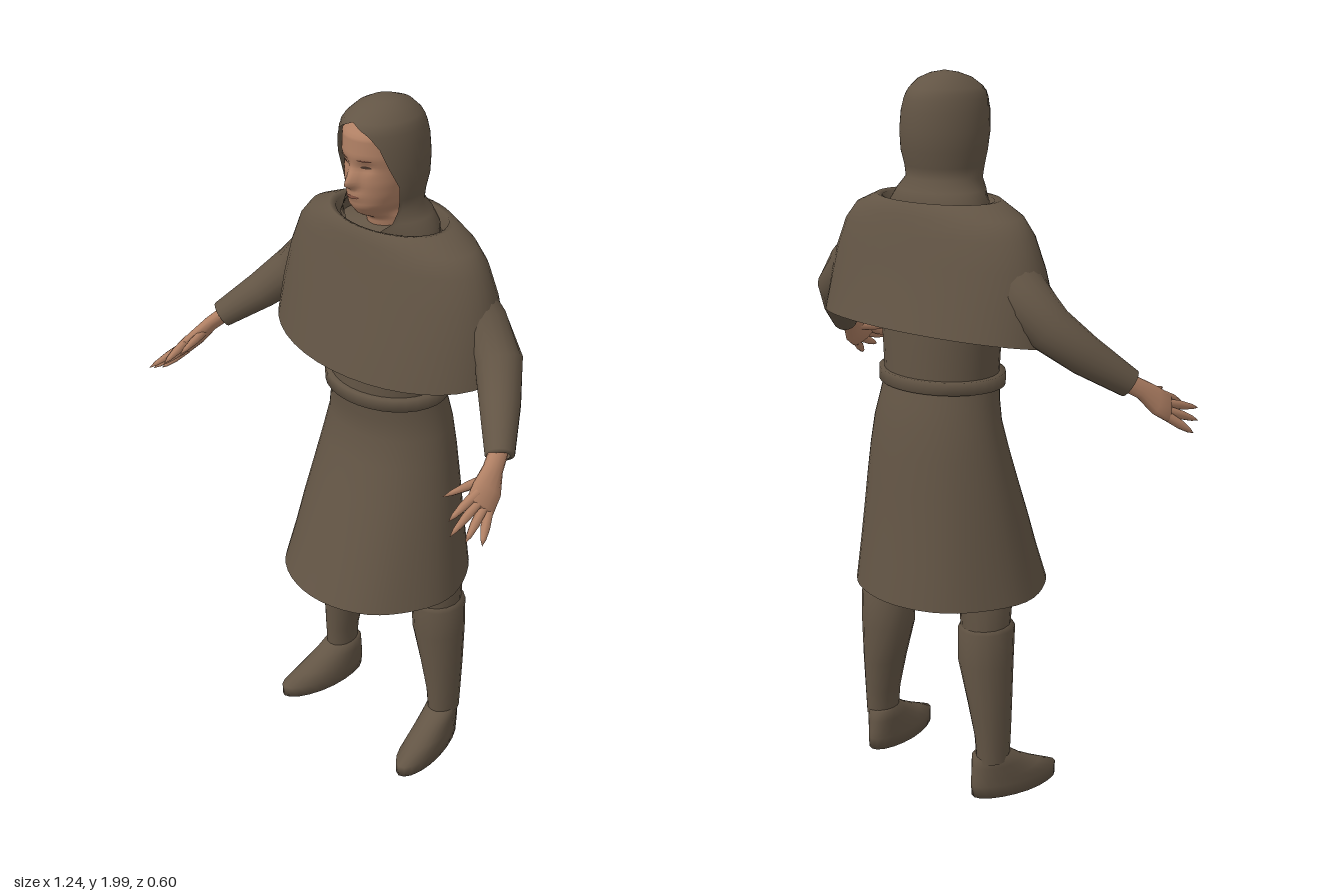
import * as THREE from 'three';
import { mergeVertices } from 'three/addons/utils/BufferGeometryUtils.js';

const mat = (name, color) => {
  const m = new THREE.MeshStandardMaterial({ color, side: THREE.DoubleSide });
  m.name = name;
  return m;
};

// Skin a list of point rings, running bottom to top, into a smooth surface
function loft(rings) {
  const n = rings[0].length, index = [];
  for (let i = 0; i < rings.length - 1; i++) for (let j = 0; j < n - 1; j++) {
    const a = i * n + j, d = a + n;
    index.push(a, a + 1, d + 1, a, d + 1, d);
  }
  const g = new THREE.BufferGeometry().setFromPoints(rings.flat());
  g.setIndex(index);
  const welded = mergeVertices(g, 1e-4);
  welded.computeVertexNormals();
  return welded;
}

// Horizontal oval ring; "open" leaves a gap of that half-angle at the front
function oval(y, rx, zf, zb, { cx = 0, open = 0, n = 32, tweak } = {}) {
  const pts = [];
  for (let j = 0; j <= n; j++) {
    const t = open + (2 * Math.PI - 2 * open) * j / n;
    const p = new THREE.Vector3(cx + rx * Math.sin(t), y, (zf + zb) / 2 + (zf - zb) / 2 * Math.cos(t));
    if (tweak) tweak(p, t);
    pts.push(p);
  }
  return pts;
}

// Limb through rows of [x, y, z, radius across, radius thick]
function limb(rows, n = 14, axis = new THREE.Vector3(0.5, -0.75, -0.3)) {
  const c = rows.map(r => new THREE.Vector3(r[0], r[1], r[2]));
  return loft(rows.map((r, i) => {
    const t = c[Math.min(i + 1, c.length - 1)].clone().sub(c[Math.max(i - 1, 0)]).normalize();
    const u = axis.clone().addScaledVector(t, -axis.dot(t)).normalize();
    const v = t.clone().cross(u);
    return Array.from({ length: n + 1 }, (_, j) => {
      const a = 2 * Math.PI * j / n;
      return c[i].clone().addScaledVector(u, r[3] * Math.cos(a)).addScaledVector(v, (r[4] ?? r[3]) * Math.sin(a));
    });
  }));
}

// Face rows: y, half width, front z, back z
const faceRows = [
  [1.60, 0.055, -0.03, -0.15], [1.69, 0.055, -0.01, -0.15], [1.708, 0.045, 0.03, -0.15],
  [1.735, 0.066, 0.05, -0.15], [1.765, 0.077, 0.053, -0.15], [1.80, 0.084, 0.055, -0.15],
  [1.84, 0.089, 0.052, -0.15], [1.87, 0.091, 0.06, -0.15], [1.92, 0.09, 0.057, -0.15], [1.96, 0.07, 0.02, -0.13],
];
function faceRow(y) {
  let i = 0;
  while (i < faceRows.length - 2 && faceRows[i + 1][0] < y) i++;
  const a = faceRows[i], b = faceRows[i + 1];
  return a.map((v, k) => THREE.MathUtils.lerp(v, b[k], (y - a[0]) / (b[0] - a[0])));
}
const bell = (d, s) => Math.exp(-(d * d) / (s * s));
// Nose, lips and eye sockets pushed in or out of the oval
const relief = (x, y) =>
  0.03 * bell(x, 0.014) * bell(y - 1.8, y > 1.8 ? 0.032 : 0.013)
  + 0.007 * bell(x, 0.025) * bell(y - 1.765, 0.012)
  - 0.008 * bell(Math.abs(x) - 0.036, 0.018) * bell(y - 1.845, 0.014);
function faceZ(x, y) {
  const [, rx, zf, zb] = faceRow(y);
  return (zf + zb) / 2 + (zf - zb) / 2 * Math.sqrt(Math.max(0, 1 - (x / rx) ** 2)) + relief(x, y);
}
// Thin painted patch following the face
function facePatch(cx, cy, w, h) {
  const g = new THREE.CircleGeometry(1, 16), p = g.attributes.position;
  for (let i = 0; i < p.count; i++) {
    const x = cx + p.getX(i) * w, y = cy + p.getY(i) * h;
    p.setXYZ(i, x, y, faceZ(x, y) + 0.003);
  }
  g.computeVertexNormals();
  return g;
}

export function createModel() {
  const model = new THREE.Group();
  const cloth = mat('brown cloth', 0x635545);
  const skin = mat('skin', 0xb08064);
  const lip = mat('lips', 0x8c5a48);
  const dark = mat('eyes', 0x4f3a2e);
  const add = (name, geo, m, parent = model) => {
    const mesh = new THREE.Mesh(geo, m);
    mesh.name = name;
    parent.add(mesh);
    return mesh;
  };

  // Head and features
  const head = Array.from({ length: 46 }, (_, i) => {
    const r = faceRow(1.6 + 0.36 * i / 45);
    return oval(...r, { n: 56, tweak: (p, t) => { if (Math.cos(t) > 0) p.z += relief(p.x, p.y); } });
  });
  add('head', loft(head), skin);
  add('mouth', facePatch(0, 1.765, 0.023, 0.005), lip);
  for (const s of [1, -1]) {
    add('eye', facePatch(s * 0.035, 1.845, 0.013, 0.004), dark);
    add('eyebrow', facePatch(s * 0.036, 1.865, 0.018, 0.0025), lip);
  }

  // Hood with a face opening: y, half width, front, back, opening
  const hood = [
    [1.63, 0.15, 0.02, -0.19, 0], [1.67, 0.145, 0.03, -0.19, 0.4], [1.70, 0.125, 0.035, -0.18, 0.8],
    [1.73, 0.104, 0.04, -0.16, 1.1], [1.76, 0.107, 0.05, -0.165, 1.15], [1.80, 0.114, 0.06, -0.177, 1.12],
    [1.85, 0.114, 0.066, -0.182, 0.92], [1.90, 0.108, 0.068, -0.18, 0.76], [1.93, 0.1, 0.066, -0.174, 0.55],
    [1.945, 0.094, 0.062, -0.168, 0.3], [1.957, 0.087, 0.052, -0.16, 0], [1.98, 0.064, 0.018, -0.135, 0],
    [1.993, 0.037, -0.02, -0.1, 0], [2.0, 0, -0.06, -0.06, 0],
  ];
  add('hood', loft(hood.map(([y, rx, f, b, open]) => oval(y, rx, f, b, { open, n: 40 }))), cloth);

  // Shoulder cape, its hem lower at the front
  const cape = [
    [1.33, 0.38, 0.135, -0.302, 0.034], [1.43, 0.365, 0.108, -0.275, 0.02], [1.52, 0.345, 0.083, -0.255, 0.01],
    [1.60, 0.312, 0.063, -0.238, 0], [1.645, 0.272, 0.053, -0.225, 0], [1.68, 0.19, 0.042, -0.212, 0],
    [1.676, 0.17, 0.03, -0.203, 0], [1.63, 0.165, 0.02, -0.195, 0],
  ];
  add('cape', loft(cape.map(([y, rx, f, b, tilt]) =>
    oval(y, rx, f, b, { n: 40, tweak: (p, t) => { p.y -= tilt * Math.cos(t); } }))), cloth);

  // Tunic body, belt and skirt
  const body = [
    [1.16, 0.165, 0.065, -0.215], [1.3, 0.175, 0.066, -0.215], [1.45, 0.2, 0.06, -0.21],
    [1.6, 0.2, 0.03, -0.2], [1.65, 0.15, 0.02, -0.18], [1.67, 0.05, -0.02, -0.14],
  ];
  add('tunic', loft(body.map(r => oval(...r))), cloth);
  const belt = [[1.18, 0.16, 0.06, -0.21], [1.18, 0.186, 0.08, -0.226], [1.215, 0.186, 0.08, -0.226], [1.215, 0.16, 0.06, -0.21]];
  add('belt', loft(belt.map(r => oval(...r))), cloth);
  const skirt = [
    [0.595, 0.275, 0.224, -0.298], [0.7, 0.257, 0.185, -0.285], [0.8, 0.243, 0.15, -0.272], [0.9, 0.226, 0.115, -0.262],
    [1.0, 0.207, 0.083, -0.252], [1.08, 0.19, 0.062, -0.242], [1.14, 0.175, 0.064, -0.23], [1.19, 0.167, 0.07, -0.218],
  ];
  add('skirt', loft(skirt.map(([y, rx, f, b]) => oval(y, rx, f, b, {
    n: 48,
    tweak: (p, t) => { // soft folds deepening toward the hem
      const k = 1 + 0.025 * (1.19 - y) * Math.cos(6 * t + Math.PI);
      p.x *= k;
    },
  }))), cloth);

  // Left side limbs, mirrored for the right
  for (const s of [1, -1]) {
    const side = new THREE.Group();
    side.name = s > 0 ? 'leftLimbs' : 'rightLimbs';
    side.scale.x = s;
    model.add(side);

    const leg = [[0.5, 0.187, 0.065, -0.03, -0.17], [0.6, 0.185, 0.07, -0.02, -0.175], [0.78, 0.14, 0.08, 0.0, -0.18], [0.98, 0.1, 0.09, 0.01, -0.19]];
    add('trouserLeg', loft(leg.map(([y, cx, rx, f, b]) => oval(y, rx, f, b, { cx, n: 16 }))), cloth, side);
    const shaft = [
      [0.125, 0.22, 0.041, -0.05, -0.155], [0.2, 0.218, 0.045, -0.045, -0.16], [0.3, 0.207, 0.058, -0.036, -0.17],
      [0.42, 0.191, 0.076, -0.025, -0.18], [0.52, 0.19, 0.076, -0.018, -0.18], [0.532, 0.189, 0.06, -0.03, -0.165],
    ];
    add('bootShaft', loft(shaft.map(([y, cx, rx, f, b]) => oval(y, rx, f, b, { cx, n: 16 }))), cloth, side);

    // Shoe, turned out a little at the toe
    const shoe = [
      [0.012, 0, -0.03, -0.03], [0.01, 0.054, 0.122, -0.165], [0.045, 0.054, 0.122, -0.168],
      [0.075, 0.052, 0.06, -0.166], [0.11, 0.048, -0.005, -0.163], [0.14, 0.044, -0.046, -0.16], [0.142, 0.03, -0.06, -0.15],
    ];
    add('shoe', loft(shoe.map(([y, rx, f, b]) => oval(y, rx, f, b, {
      cx: 0.222, n: 20,
      tweak: p => { p.x += 0.16 * (p.z + 0.06); p.y += y < 0.05 ? 0.06 * Math.max(0, -p.z) : 0; },
    }))), cloth, side);

    add('sleeve', limb([
      [0.2, 1.57, -0.09, 0.07], [0.31, 1.46, -0.1, 0.07], [0.385, 1.385, -0.085, 0.063],
      [0.45, 1.315, -0.02, 0.053], [0.528, 1.24, 0.065, 0.038], [0.53, 1.238, 0.067, 0.025],
    ], 18), cloth, side);

    // Hand with tapering fingers
    add('palm', limb([
      [0.515, 1.25, 0.05, 0.026, 0.022], [0.538, 1.22, 0.1, 0.028, 0.02], [0.555, 1.185, 0.14, 0.043, 0.02],
      [0.568, 1.16, 0.178, 0.044, 0.016], [0.572, 1.153, 0.188, 0, 0],
    ]), skin, side);
    const fingers = [ // base, then tip
      [0.552, 1.188, 0.182, 0.548, 1.15, 0.27], [0.563, 1.17, 0.18, 0.58, 1.135, 0.3],
      [0.573, 1.152, 0.175, 0.603, 1.112, 0.268], [0.583, 1.138, 0.166, 0.62, 1.09, 0.225],
      [0.54, 1.205, 0.12, 0.503, 1.188, 0.245],
    ];
    for (const [x, y, z, X, Y, Z] of fingers) {
      const at = (t, r) => [x + (X - x) * t, y + (Y - y) * t, z + (Z - z) * t, r];
      add('finger', limb([at(-0.1, 0.013), at(0.45, 0.012), at(0.8, 0.007), at(1, 0)], 8), skin, side);
    }
  }
  return model;
}
